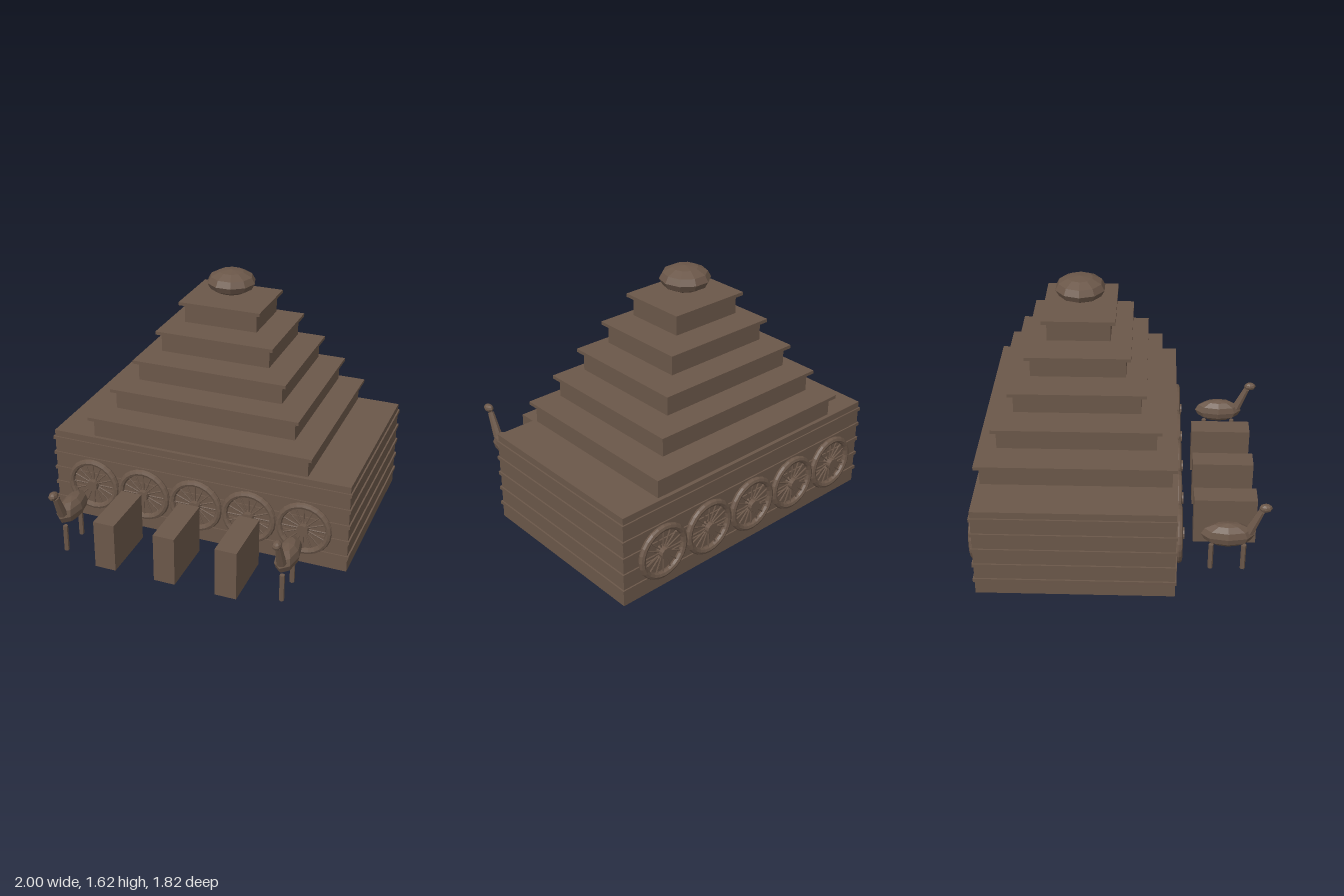
import * as THREE from 'three';

const CZ = -0.258; // centre of the temple in z

export function createModel() {
  const root = new THREE.Group();
  root.name = 'templeChariot';
  const stone = new THREE.MeshStandardMaterial({ color: 0x6b5749, flatShading: true });
  stone.name = 'brown stone';

  const add = (parent, name, geo, x = 0, y = 0, z = 0) => {
    const m = new THREE.Mesh(geo, stone);
    m.name = name;
    m.position.set(x, y, z);
    parent.add(m);
    return m;
  };
  // box given by its bottom height
  const block = (name, w, h, d, x, y0, z) =>
    add(root, name, new THREE.BoxGeometry(w, h, d), x, y0 + h / 2, z);

  // Plinth with horizontal mouldings
  block('plinth', 1.98, 0.595, 1.188, 0, 0, CZ);
  for (let i = 0; i < 5; i++) block('moulding', 2, 0.022, 1.206, 0, 0.09 + i * 0.11, CZ);

  // Stepped roof: floating tiers, each with an overhanging slab
  for (let i = 0; i < 5; i++) {
    const w = 1.428 - i * 0.238, d = 1.14 - i * 0.19, y = 0.595 + i * 0.1785;
    block('roofTier', w, 0.12, d, 0, y, CZ);
    block('roofSlab', w + 0.057, 0.021, d + 0.06, 0, y + 0.118, CZ);
  }

  // Crowning disc
  add(root, 'crown', new THREE.SphereGeometry(0.155, 10, 6), 0, 1.547, CZ).scale.y = 0.5;

  // Wheels along both long sides
  const rimGeo = new THREE.TorusGeometry(0.159, 0.021, 8, 24);
  const hubGeo = new THREE.CylinderGeometry(0.037, 0.037, 0.068, 12).rotateX(Math.PI / 2);
  const spokeGeo = new THREE.CylinderGeometry(0.005, 0.005, 0.15, 6).translate(0, 0.075, 0);
  for (const side of [1, -1]) {
    for (let i = -2; i <= 2; i++) {
      const wheel = new THREE.Group();
      wheel.name = 'wheel';
      wheel.position.set(i * 0.357, 0.26, CZ + side * 0.615);
      add(wheel, 'rim', rimGeo);
      add(wheel, 'hub', hubGeo);
      for (let k = 0; k < 16; k++) {
        add(wheel, 'spoke', spokeGeo).rotation.z = (k * Math.PI) / 8;
      }
      root.add(wheel);
    }
  }

  // Stair blocks in front
  for (const x of [-0.395, 0, 0.395]) block('stairBlock', 0.137, 0.32, 0.394, x, 0, 0.652);

  // Horses at the front corners
  const neckBase = new THREE.Vector3(0, 0.28, 0.78);
  const neckTop = new THREE.Vector3(0, 0.432, 0.846);
  const neckDir = neckTop.clone().sub(neckBase);
  for (const x of [-0.714, 0.714]) {
    const horse = new THREE.Group();
    horse.name = 'horse';
    horse.position.x = x;
    add(horse, 'body', new THREE.SphereGeometry(1, 8, 6), 0, 0.26, 0.652).scale.set(0.07, 0.08, 0.163);
    const neck = add(horse, 'neck', new THREE.CylinderGeometry(0.021, 0.031, neckDir.length(), 8));
    neck.position.copy(neckBase).addScaledVector(neckDir, 0.5);
    neck.rotation.x = Math.atan2(neckDir.z, neckDir.y);
    add(horse, 'head', new THREE.SphereGeometry(1, 8, 6), 0, 0.457, 0.869).scale.set(0.028, 0.027, 0.04);
    for (const z of [0.753, 0.555]) {
      add(horse, 'leg', new THREE.CylinderGeometry(0.016, 0.016, 0.178, 6), 0, 0.089, z);
    }
    root.add(horse);
  }
  return root;
}
